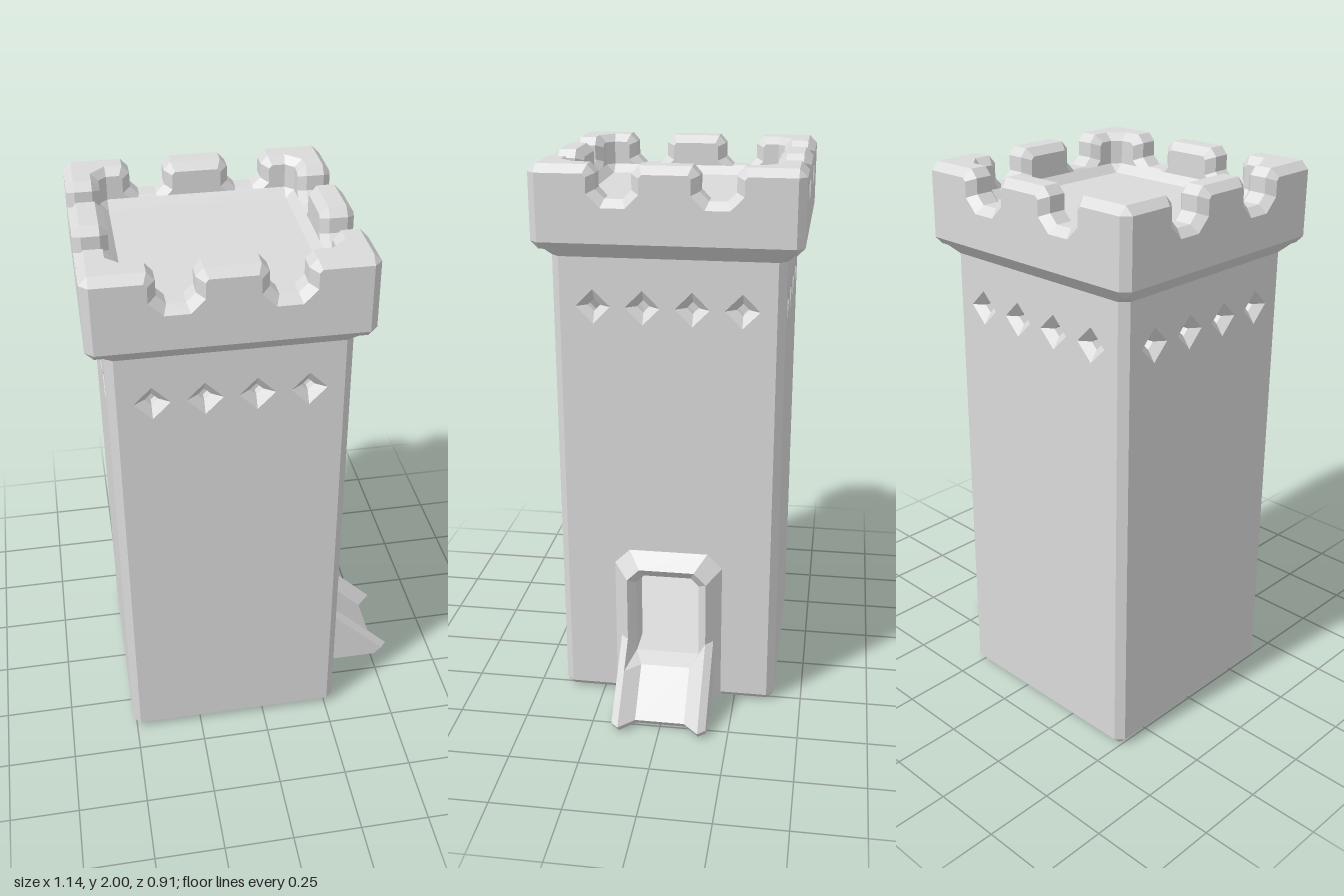
import * as THREE from 'three';

const CX = -0.114;      // tower axis
const HALF = 0.399;     // half width of the shaft
const CROWN = 0.457;    // half width of the crown
const DECK = 0.343;     // half width inside the battlements
const SHAFT_BEVEL = 0.027, CROWN_BEVEL = 0.027;

const stone = new THREE.MeshStandardMaterial({ color: 0xdadada });
stone.name = 'stone';

const mesh = (geometry, name) => {
  const m = new THREE.Mesh(geometry, stone);
  m.name = name;
  return m;
};

const box = (name, w, h, d, x, y, z) => {
  const m = mesh(new THREE.BoxGeometry(w, h, d), name);
  m.position.set(x, y, z);
  return m;
};

const path = (points, Type = THREE.Shape) => new Type(points.map(([x, y]) => new THREE.Vector2(x, y)));

// Flat-faced skin through a series of loops, with optional end caps
function loft(loops, { closed = true, bottom = false, top = false } = {}) {
  const pos = [];
  const tri = (a, b, c) => pos.push(...a, ...b, ...c);
  const n = loops[0].length;
  for (let k = 0; k < loops.length - 1; k++) {
    const a = loops[k], b = loops[k + 1];
    for (let i = 0; i < (closed ? n : n - 1); i++) {
      const j = (i + 1) % n;
      tri(a[i], a[j], b[j]);
      tri(a[i], b[j], b[i]);
    }
  }
  const last = loops[loops.length - 1];
  for (let i = 1; i < n - 1; i++) {
    if (bottom) tri(loops[0][0], loops[0][i + 1], loops[0][i]);
    if (top) tri(last[0], last[i], last[i + 1]);
  }
  const g = new THREE.BufferGeometry();
  g.setAttribute('position', new THREE.Float32BufferAttribute(pos, 3));
  g.computeVertexNormals();
  return g;
}

// Square ring with cut corners, at height y
const ring = (h, cut, y) => {
  const c = h - cut;
  return [[c, h], [h, c], [h, -c], [c, -h], [-c, -h], [-h, -c], [-h, c], [-c, h]].map(([x, z]) => [x, y, z]);
};

// Wall slab with chamfered edges and mitred ends, outer face at distance `out`
function slab(shape, thickness, bevel, out) {
  const g = new THREE.ExtrudeGeometry(shape, {
    depth: thickness - 2 * bevel, bevelEnabled: true, bevelThickness: bevel,
    bevelSize: bevel, bevelOffset: -bevel, bevelSegments: 1,
  });
  g.translate(0, 0, out - thickness + bevel);
  const p = g.attributes.position;
  for (let i = 0; i < p.count; i++) {
    const z = p.getZ(i);
    p.setX(i, THREE.MathUtils.clamp(p.getX(i), -z, z));
  }
  g.computeVertexNormals();
  return g;
}

// Chamfered outer corner joining two slabs, tapering to a point at each end
function cornerPost(h, b, y0, y1) {
  const c = h - b;
  const tip = (y) => [[c, y, c], [c, y, c], [c, y, c]];
  const full = (y) => [[c, y, c], [c, y, h], [h, y, c]];
  return loft([tip(y0), full(y0 + b), full(y1 - b), tip(y1)]);
}

// Chamfered inner corner of the battlements
function innerPost() {
  const level = (y, h, cut) => [[h, y, h], [h, y, h - cut], [h - cut, y, h]];
  return loft([
    level(1.88, DECK, 0.028), level(1.973, DECK, 0.028), level(2, 0.372, 0.057),
  ], { top: true });
}

// Arch with cut corners, as [z, y] points
const arch = (half, top, cut, base = 0) => [
  [-half, base], [-half, top - cut], [-half + cut, top],
  [half - cut, top], [half, top - cut], [half, base],
];

function shaftWall(withDoor) {
  const s = path([[-HALF, 0], [HALF, 0], [HALF, 1.76], [-HALF, 1.76]]);
  for (const x of [-0.258, -0.087, 0.084, 0.255]) {
    const r = 0.022, y = 1.517;
    s.holes.push(path([[x - r, y], [x, y + r], [x + r, y], [x, y - r]], THREE.Path));
  }
  if (withDoor) s.holes.push(path(arch(0.116, 0.515, 0.03, 0.15), THREE.Path));
  return slab(s, 0.085, SHAFT_BEVEL, HALF);
}

function crownWall() {
  const p = [[-CROWN, 1.718], [CROWN, 1.718], [CROWN, 2]];
  for (const c of [0.172, -0.172]) {
    const half = [[0.085, 2], [0.06, 1.972], [0.06, 1.92], [0.03, 1.89]];
    for (const [x, y] of half) p.push([c + x, y]);
    for (const [x, y] of half.reverse()) p.push([c - x, y]);
  }
  p.push([-CROWN, 2]);
  return slab(path(p), CROWN - DECK, CROWN_BEVEL, CROWN);
}

// Chute outline at height y, given the reach of its outer edge, ridge and trough
const chuteLoop = (y, outer, ridge, trough, troughZ = 0.09, troughY = y) => [
  [0.25, y, 0], [0.25, y, 0.172],
  [outer, y, 0.172], [ridge, y, 0.145], [trough, troughY, troughZ],
  [trough, troughY, -troughZ], [ridge, y, -0.145], [outer, y, -0.172],
  [0.25, y, -0.172],
];

export function createModel() {
  const model = new THREE.Group();
  model.name = 'tower';

  // Four shaft walls, battlement walls and corners around the axis
  const keep = new THREE.Group();
  keep.name = 'keep';
  keep.position.x = CX;
  for (let k = 0; k < 4; k++) {
    const side = new THREE.Group();
    side.name = 'side';
    side.rotation.y = k * Math.PI / 2;
    side.add(
      mesh(shaftWall(k === 1), 'shaftWall'),
      mesh(crownWall(), 'battlement'),
      mesh(cornerPost(HALF, SHAFT_BEVEL, 0, 1.76), 'shaftCorner'),
      mesh(cornerPost(CROWN, CROWN_BEVEL, 1.718, 2), 'crownCorner'),
      mesh(innerPost(), 'innerCorner'),
    );
    keep.add(side);
  }

  // Flared underside of the crown, roof deck and inner floor
  keep.add(
    mesh(loft([ring(HALF, SHAFT_BEVEL, 1.688), ring(CROWN, CROWN_BEVEL, 1.746)]), 'crownFlare'),
    mesh(loft([ring(DECK, 0.028, 1.89), ring(0.315, 0.001, 1.86)], { top: true }), 'roofDeck'),
    box('roofSlab', 0.72, 0.16, 0.72, 0, 1.77, 0),
    box('innerFloor', 0.64, 0.095, 0.64, 0, 0.1525, 0),
  );
  model.add(keep);

  // Door surround: outer chamfer, inner chamfer, then the passage
  const at = (x, points) => points.map(([z, y]) => [x, y, z]);
  const surround = loft([
    at(0.283, arch(0.2, 0.605, 0.055)),
    at(0.34, arch(0.145, 0.55, 0.045)),
    at(0.311, arch(0.116, 0.515, 0.03)),
    at(0.19, arch(0.116, 0.515, 0.03)),
  ], { closed: false });
  model.add(mesh(surround, 'doorSurround'));
  model.add(box('doorSill', 0.12, 0.09, 0.232, 0.25, 0.155, 0));

  // Sloping chute with raised side rails and a chamfered lip at the sill
  const chute = [
    chuteLoop(0, 0.518, 0.543, 0.488),
    chuteLoop(0.03, 0.546, 0.571, 0.516),
    chuteLoop(0.175, 0.401, 0.426, 0.371),
    chuteLoop(0.26, 0.316, 0.341, 0.31, 0.116, 0.2),
  ];
  model.add(mesh(loft(chute, { bottom: true }), 'chute'));
  for (const side of [-1, 1]) {
    const a = [[0.25, 0.145], [0.25, 0.172], [0.316, 0.172], [0.341, 0.145]].map(([x, z]) => [x, 0.26, z * side]);
    if (side < 0) a.reverse();
    model.add(mesh(loft([a], { top: true }), 'railTop'));
  }
  return model;
}
